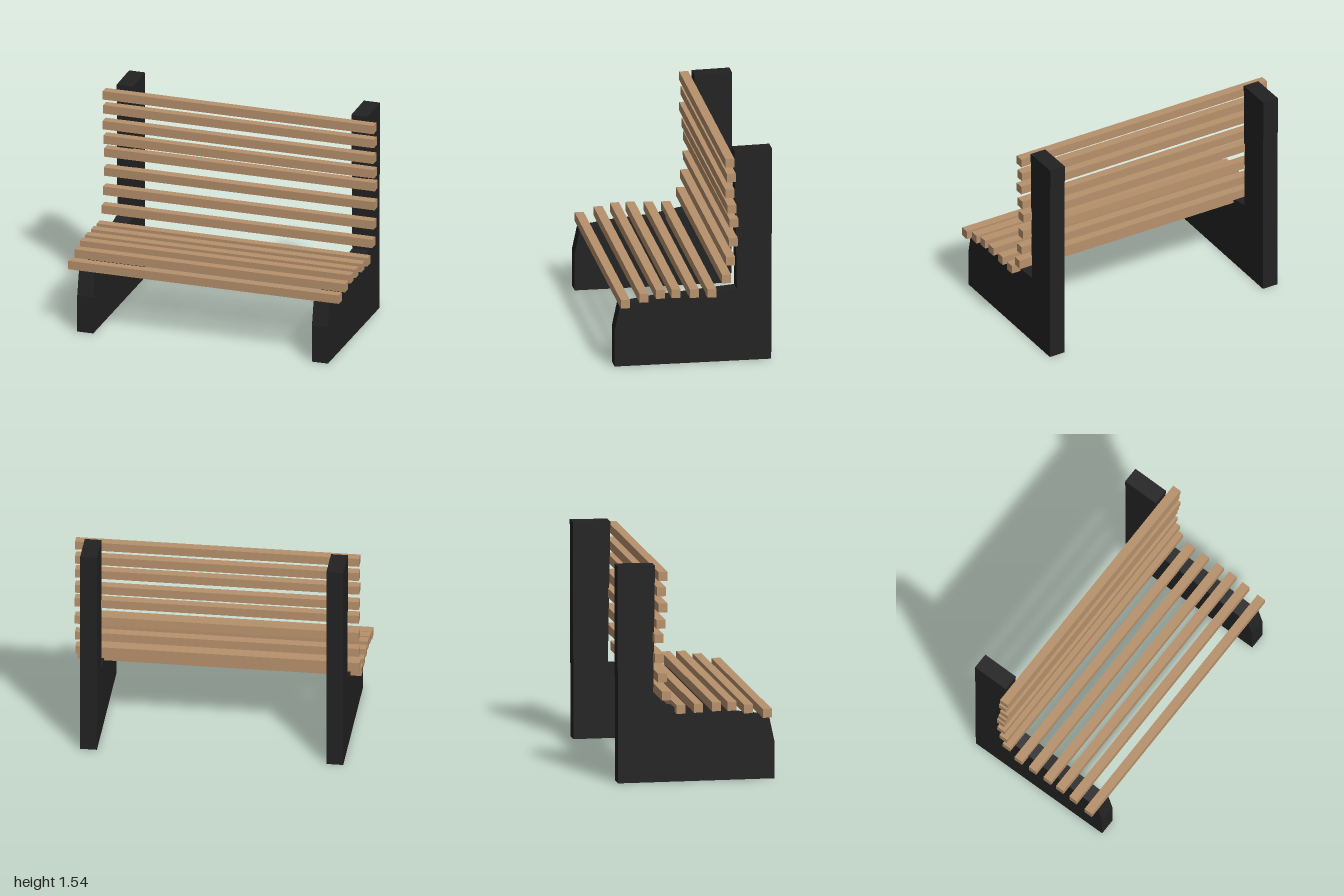
import * as THREE from 'three';

export function createModel() {
  const bench = new THREE.Group();
  bench.name = 'bench';

  const wood = new THREE.MeshStandardMaterial({ color: 0xb8926c });
  wood.name = 'wood';
  const black = new THREE.MeshStandardMaterial({ color: 0x222222 });
  black.name = 'black';

  // Side support: L-shaped profile in (z, y), extruded along x
  const addSupport = (name, x, cornerZ, cornerY) => {
    const profile = [
      [0.557, 0], [0.557, 0.27], [0.521, 0.44], [0.27, 0.474], [-0.01, 0.498],
      [cornerZ, cornerY], [-0.29, 1.537], [-0.557, 1.542], [-0.553, 0.43], [-0.551, 0],
    ];
    // the shape's own x is -z, so that a quarter turn about y puts it in place
    const shape = new THREE.Shape(profile.map(([z, y]) => new THREE.Vector2(-z, y)));
    const thickness = 0.118;
    const geometry = new THREE.ExtrudeGeometry(shape, { depth: thickness, bevelEnabled: false });
    geometry.translate(0, 0, -thickness / 2);
    geometry.rotateY(Math.PI / 2);
    const mesh = new THREE.Mesh(geometry, black);
    mesh.name = name;
    mesh.position.x = x;
    bench.add(mesh);
  };
  addSupport('leftSupport', 0.871, -0.308, 0.524);
  addSupport('rightSupport', -0.863, -0.304, 0.556);

  // Slats: [z, y, tilt] of each centre
  const slatGeometry = new THREE.BoxGeometry(2, 0.063, 0.064);
  const addSlats = (name, places) => {
    const group = new THREE.Group();
    group.name = name;
    places.forEach(([z, y, tilt = 0], i) => {
      const slat = new THREE.Mesh(slatGeometry, wood);
      slat.name = `${name}${i + 1}`;
      slat.position.set(0, y, z);
      slat.rotation.x = tilt;
      group.add(slat);
    });
    bench.add(group);
  };
  addSlats('seatSlat', [
    [0.493, 0.478], [0.36, 0.514], [0.244, 0.536],
    [0.134, 0.536], [0.005, 0.53], [-0.119, 0.526],
  ]);
  addSlats('backSlat', [
    [-0.224, 0.625], [-0.252, 0.754], [-0.272, 0.892, 0.05], [-0.275, 1.033],
    [-0.262, 1.135], [-0.247, 1.25], [-0.257, 1.365], [-0.247, 1.474],
  ]);

  return bench;
}
